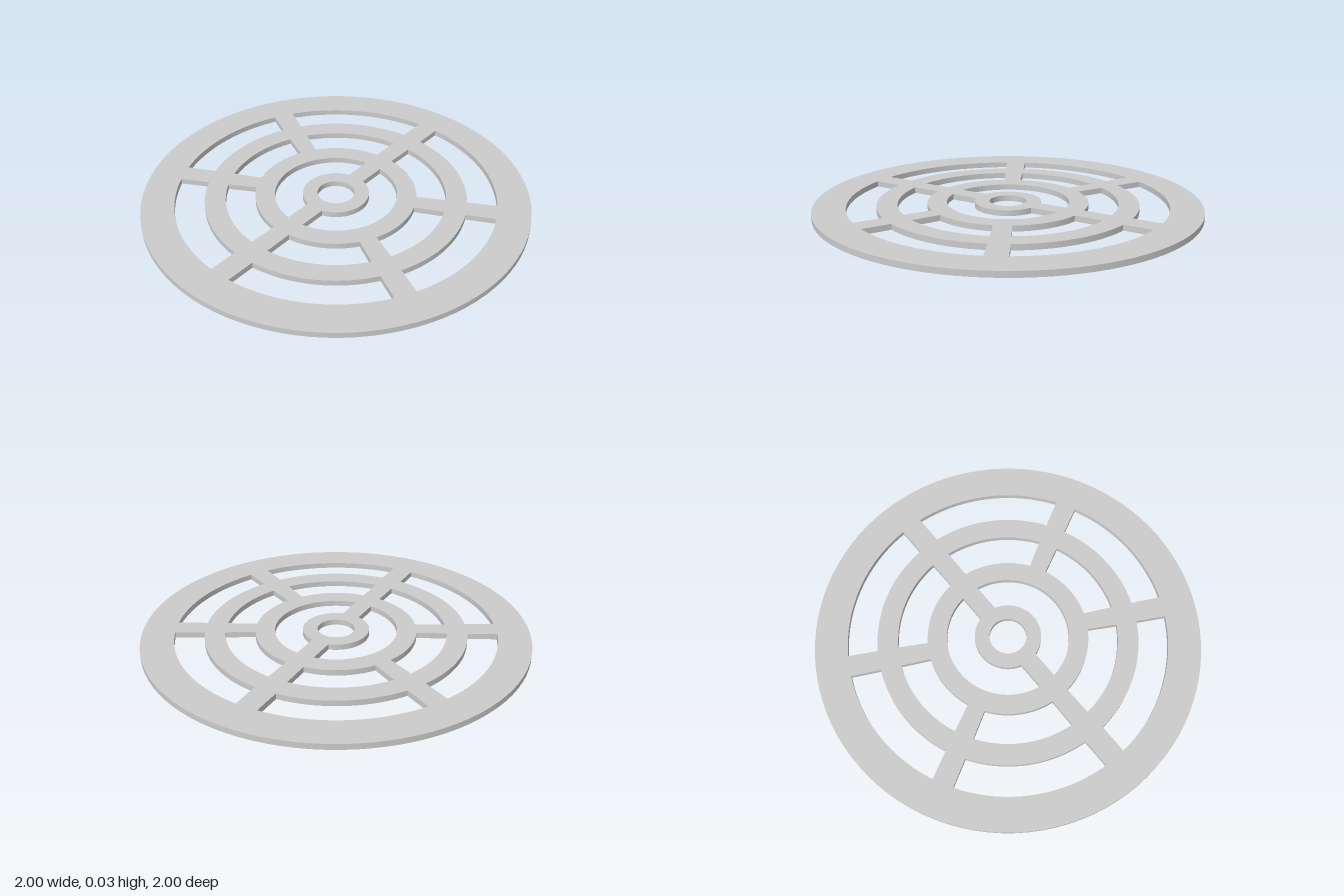
import * as THREE from 'three';
import { toCreasedNormals } from 'three/addons/utils/BufferGeometryUtils.js';

const THICKNESS = 0.03;
const rad = THREE.MathUtils.degToRad;

// Ring-sector opening between two neighbouring spokes.
// Each spoke: { angle, inner, outer } = direction and half width at both ends of the gap.
function sectorHole(rIn, rOut, from, to) {
  const start = (r, h) => from.angle + Math.asin(h / r);
  const end = (r, h) => to.angle - Math.asin(h / r);
  const hole = new THREE.Path();
  hole.absarc(0, 0, rOut, start(rOut, from.outer), end(rOut, to.outer), false);
  hole.absarc(0, 0, rIn, end(rIn, to.inner), start(rIn, from.inner), true);
  hole.closePath();
  return hole;
}

// All openings of one gap between two rings
function gapHoles(rIn, rOut, degrees, straight, diagonal) {
  const spokes = [...degrees, 360].map((d) => {
    const [inner, outer] = d % 180 === 0 ? straight : diagonal;
    return { angle: rad(d), inner, outer };
  });
  return spokes.slice(1).map((to, i) => sectorHole(rIn, rOut, spokes[i], to));
}

export function createModel() {
  const group = new THREE.Group();
  group.name = 'drainGrate';

  // Round plate outline
  const plate = new THREE.Shape();
  plate.absarc(0, 0, 1, 0, Math.PI * 2, false);

  // Hub hole
  const hub = new THREE.Path();
  hub.absarc(0, 0, 0.096, 0, Math.PI * 2, true);

  // Openings: outer and middle gaps have six spokes, the inner gap has two
  const six = [0, 62, 118, 180, 242, 298];
  plate.holes.push(
    hub,
    ...gapHoles(0.172, 0.317, [0, 180], [0.047, 0.047], [0.047, 0.047]),
    ...gapHoles(0.417, 0.57, six, [0.049, 0.051], [0.045, 0.05]),
    ...gapHoles(0.677, 0.83, six, [0.057, 0.057], [0.0525, 0.055])
  );

  const geometry = new THREE.ExtrudeGeometry(plate, {
    depth: THICKNESS,
    bevelEnabled: false,
    curveSegments: 48,
  });
  geometry.rotateX(-Math.PI / 2);

  const grate = new THREE.Mesh(
    toCreasedNormals(geometry, 0.5),
    new THREE.MeshStandardMaterial({ color: 0xcccccc })
  );
  grate.name = 'slottedPlate';
  group.add(grate);
  return group;
}
